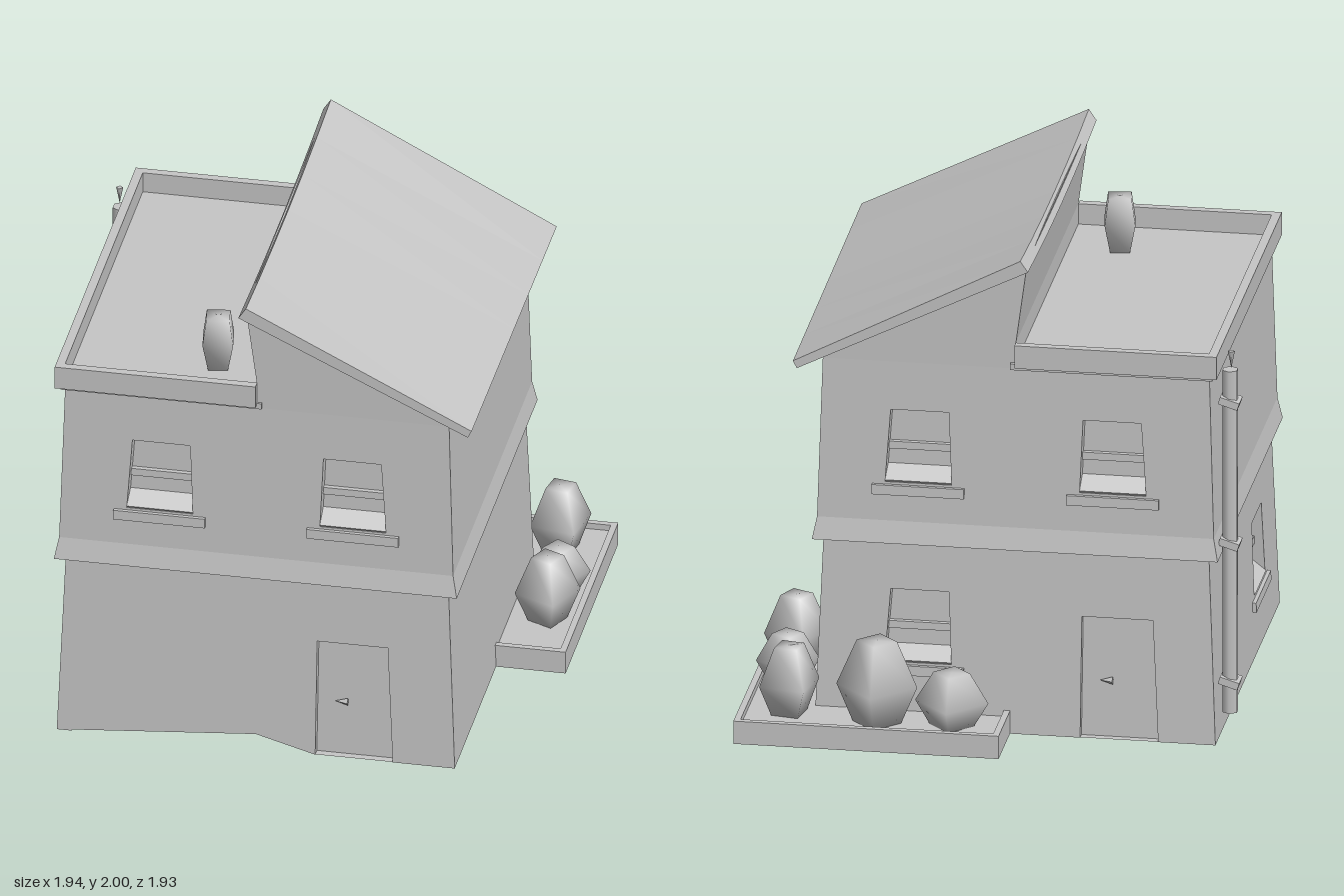
import * as THREE from 'three';

const CX = -0.1, CZ = 0.12, HALF = 0.77; // house centre and nominal half width

export function createModel() {
  const model = new THREE.Group();
  const plaster = new THREE.MeshStandardMaterial({ color: 0xc6c6c6, side: THREE.DoubleSide });
  plaster.name = 'pale grey';

  const add = (name, geo, x = 0, y = 0, z = 0, parent = model) => {
    const m = new THREE.Mesh(geo, plaster);
    m.name = name;
    m.position.set(x, y, z);
    parent.add(m);
    return m;
  };
  const box = (name, x0, x1, y0, y1, z0, z1) =>
    add(name, new THREE.BoxGeometry(x1 - x0, y1 - y0, z1 - z0), (x0 + x1) / 2, (y0 + y1) / 2, (z0 + z1) / 2);

  // Walls lean inwards: half width of each storey at height y
  const lowerHalf = (y) => 0.793 - 0.03 * (y / 0.77);
  const upperHalf = (y) => 0.785 - 0.02 * ((y - 0.86) / 0.67);

  // Wraps geometry drawn flat (u along the wall, z outwards) onto one side of the house
  const sides = { front: 0, right: 1, back: 2, left: 3 };
  function onWall(name, side, half, geo) {
    const p = geo.attributes.position;
    const v = new THREE.Vector3(), up = new THREE.Vector3(0, 1, 0);
    for (let i = 0; i < p.count; i++) {
      v.fromBufferAttribute(p, i);
      const h = half(v.y);
      v.set((v.x * h) / HALF, v.y, h + v.z).applyAxisAngle(up, (sides[side] * Math.PI) / 2);
      p.setXYZ(i, v.x + CX, v.y, v.z + CZ);
    }
    geo.computeVertexNormals();
    return add(name, geo);
  }

  const path = (pts, Type = THREE.Shape) => new Type(pts.map(([x, y]) => new THREE.Vector2(x, y)));
  const W = 0.13, H = 0.3; // window half width and height

  function wall(name, side, half, outline, windows) {
    const shape = path(outline);
    for (const [u, y] of windows)
      shape.holes.push(path([[u - W, y], [u - W + 0.015, y + H], [u + W - 0.015, y + H], [u + W, y]], THREE.Path));
    const geo = new THREE.ExtrudeGeometry(shape, { depth: 0.06, bevelEnabled: false });
    onWall(name, side, half, geo.translate(0, 0, -0.06));
    // Pane, middle bar, sloping inner ledge and sill
    for (const [u, y] of windows) {
      const part = (n, w, h, d, dy, dz, tilt = 0) =>
        onWall(n, side, half, new THREE.BoxGeometry(w, h, d).rotateX(tilt).translate(u, y + dy, dz));
      part('windowPane', 2 * W, H, 0.01, H / 2, -0.06);
      part('windowBar', 2 * W, 0.03, 0.02, 0.14, -0.045);
      part('windowLedge', 2 * W, 0.012, 0.08, 0.03, -0.03, 0.7);
      part('windowSill', 2 * W + 0.1, 0.04, 0.03, -0.03, 0);
    }
  }

  function door(side, u) {
    onWall('door', side, lowerHalf, new THREE.BoxGeometry(0.32, 0.5, 0.01).translate(u, 0.25, -0.04));
    onWall('doorHandle', side, lowerHalf,
      new THREE.ConeGeometry(0.016, 0.05, 4).rotateZ(Math.PI / 2).translate(u - 0.05, 0.235, -0.02));
  }
  const doorway = (u) => [[u - 0.15, 0], [u - 0.14, 0.5], [u + 0.14, 0.5], [u + 0.15, 0]];
  const rect = (y0, y1) => [[-HALF, y0], [HALF, y0], [HALF, y1], [-HALF, y1]];
  const T = 0.78;

  // Ground storey; the front wall lifts off the ground beside the door
  wall('groundFrontWall', 'front', lowerHalf,
    [[-HALF, 0], [0, 0.065], ...doorway(0.38), [HALF, 0], [HALF, T], [-HALF, T]], []);
  wall('groundBackWall', 'back', lowerHalf,
    [[-HALF, 0], ...doorway(0.4), [HALF, 0], [HALF, T], [-HALF, T]], [[-0.38, 0.27]]);
  wall('groundRightWall', 'right', lowerHalf, rect(0, T), []);
  wall('groundLeftWall', 'left', lowerHalf, rect(0, T), [[0.35, 0.24]]);
  door('front', 0.38);
  door('back', 0.4);

  // Creased underside
  const A = [-0.89, 0, 0.91], N = [-0.1, 0.065, 0.91], M = [0.13, 0, 0.91], B = [0.69, 0, 0.91];
  const C = [0.69, 0, -0.67], E = [-0.32, 0, -0.67], D = [-0.89, 0, -0.67];
  const under = new THREE.BufferGeometry();
  under.setAttribute('position', new THREE.Float32BufferAttribute(
    [A, D, E, A, E, N, N, E, M, M, E, C, M, C, B].flat(), 3));
  under.computeVertexNormals();
  add('underside', under);

  // Upper storey with a flared hem
  for (const side of ['front', 'back'])
    wall(side + 'UpperWall', side, upperHalf, rect(0.84, 1.54), [[-0.38, 1.02], [0.38, 1.02]]);
  for (const side of ['left', 'right'])
    wall(side + 'UpperWall', side, upperHalf, rect(0.84, 1.54), []);
  const hem = new THREE.CylinderGeometry(0.785 * Math.SQRT2, 0.803 * Math.SQRT2, 0.09, 4, 1).toNonIndexed();
  hem.rotateY(Math.PI / 4);
  hem.computeVertexNormals();
  add('flaredHem', hem, CX, 0.815, CZ);

  // Flat roof and parapet
  box('flatRoof', -0.88, -0.08, 1.52, 1.545, -0.67, 0.9);
  box('leftParapet', -0.9, -0.865, 1.535, 1.63, -0.69, 0.92);
  box('frontParapet', -0.9, -0.1, 1.535, 1.63, 0.885, 0.92);
  box('backParapet', -0.9, -0.1, 1.535, 1.63, -0.69, -0.655);

  // Wedge-shaped attic under the sloping roof
  const attic = new THREE.ExtrudeGeometry(
    path([[-0.1, 1.52], [0.665, 1.52], [0.665, 1.56], [-0.145, 1.965], [-0.1, 1.63]]),
    { depth: 1.54, bevelEnabled: false });
  add('attic', attic, 0, 0, -0.65);

  // Sloping roof slab, sagging slightly along the ridge, eave dropping to the back
  const slab = new THREE.ExtrudeGeometry(
    path([[-0.16, 1.955], [0.755, 1.5], [0.77, 1.53], [-0.13, 2]]),
    { depth: 1.69, steps: 6, bevelEnabled: false });
  slab.translate(0, 0, -0.73);
  const sp = slab.attributes.position;
  for (let i = 0; i < sp.count; i++) {
    const t = (sp.getZ(i) + 0.73) / 1.69;
    const ridge = sp.getX(i) < 0.3;
    sp.setY(i, sp.getY(i) - (ridge ? 0.1 * t * (1 - t) : -0.02 * t));
  }
  slab.computeVertexNormals();
  add('slopingRoof', slab);

  // Bulging four-sided pots and shrubs
  const bulge = (name, x, y, z, r, h, turn) => {
    const pts = [[0, 0], [0.6, 0], [1, 0.45], [0.5, 1], [0, 1]].map(([a, b]) => new THREE.Vector2(a * r, b * h));
    add(name, new THREE.LatheGeometry(pts, 4), x, y, z).rotation.y = turn;
  };
  const pot = [[0, 0], [0.055, 0], [0.085, 0.12], [0.065, 0.225], [0, 0.225]].map(([a, b]) => new THREE.Vector2(a, b));
  add('chimneyPot', new THREE.LatheGeometry(pot, 4), -0.305, 1.545, 0.635).rotation.y = 0.95;

  // L-shaped planter around the back corner
  const ell = [[-0.08, 0.95], [0.97, 0.95], [0.97, -0.09], [0.67, -0.09], [0.67, 0.66], [-0.08, 0.66]];
  const flat = (pts, depth) =>
    new THREE.ExtrudeGeometry(path(pts), { depth, bevelEnabled: false }).rotateX(-Math.PI / 2);
  add('planterSoil', flat(ell, 0.07));
  box('planterBackRim', -0.08, 0.97, 0, 0.095, -0.955, -0.93);
  box('planterRightRim', 0.945, 0.97, 0, 0.095, -0.95, 0.09);
  box('planterFrontRim', 0.67, 0.97, 0, 0.095, 0.065, 0.09);
  box('planterEndRim', -0.08, -0.055, 0, 0.095, -0.95, -0.66);

  const shrubs = [
    [0.13, -0.8, 0.145, 0.22, 0], [0.425, -0.81, 0.16, 0.34, 0], [0.78, -0.76, 0.13, 0.28, 0.6],
    [0.84, -0.42, 0.125, 0.2, 0.25], [0.84, -0.2, 0.13, 0.28, 0.35],
  ];
  for (const [x, z, r, h, turn] of shrubs) bulge('shrub', x, 0.07, z, r, h, turn);

  // Downpipe with brackets
  add('downpipe', new THREE.CylinderGeometry(0.033, 0.033, 1.43, 6), -0.932, 0.815, -0.55);
  for (const y of [0.23, 0.81, 1.4]) {
    const b = add('pipeBracket', new THREE.BoxGeometry(0.08, 0.03, 0.085), -0.932, y, -0.55);
    b.rotation.z = 0.3;
  }
  add('pipeSpout', new THREE.ConeGeometry(0.014, 0.07, 4).rotateX(Math.PI), -0.938, 1.575, -0.56);

  return model;
}
